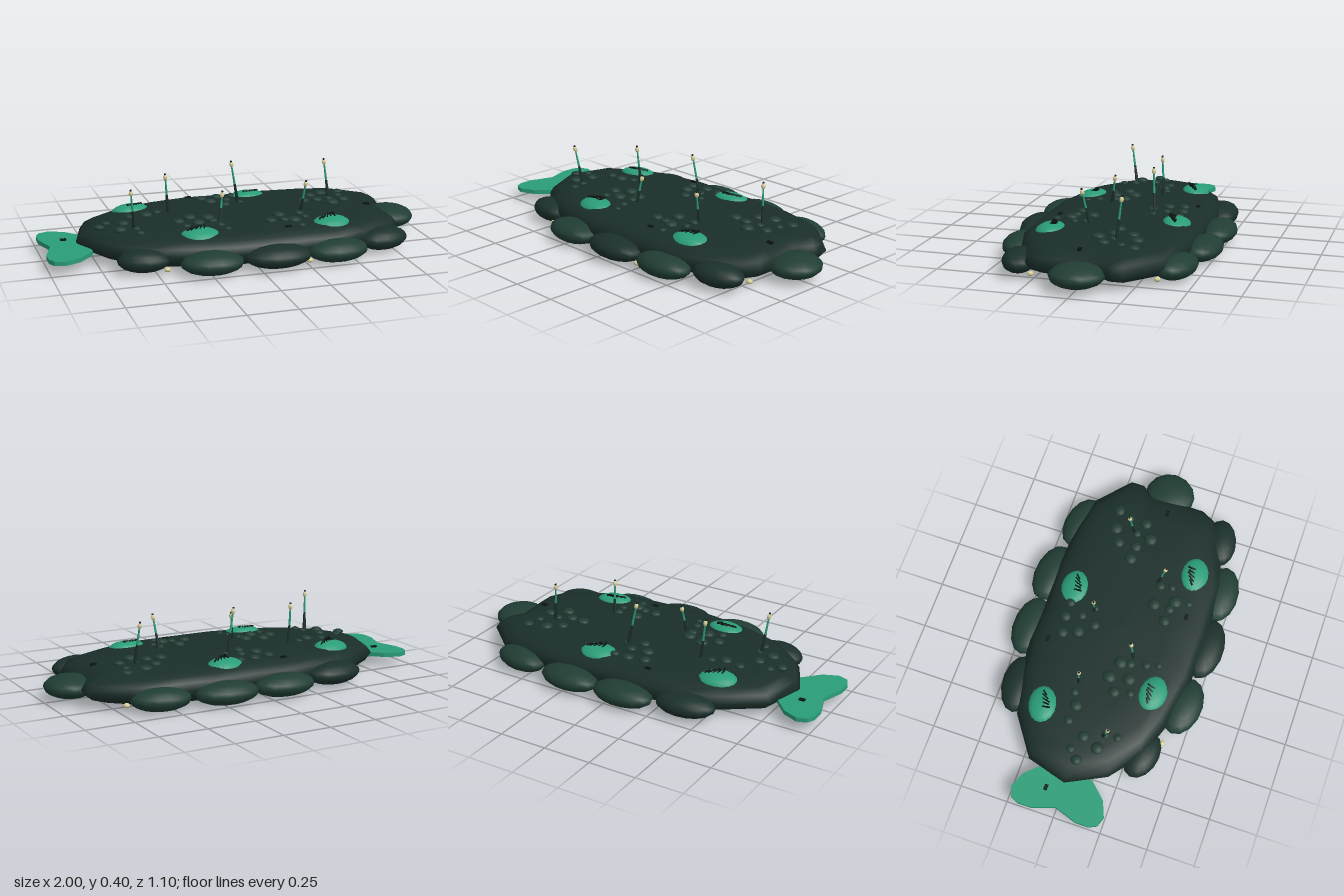
import * as THREE from 'three';

const paint = (color, flatShading = false) => new THREE.MeshStandardMaterial({ color, flatShading });
const skin = paint(0x1a2e2a), lobeLight = paint(0x203d34), lobeDark = paint(0x1b302b);
const bumpMat = paint(0x213c34), green = paint(0x2a9d78), finMat = paint(0x2a9d78, true);
const dark = paint(0x0c1512), pale = paint(0xd8d09a);

function add(parent, name, geometry, material, x = 0, y = 0, z = 0) {
  const m = new THREE.Mesh(geometry, material);
  m.name = name;
  m.position.set(x, y, z);
  parent.add(m);
  return m;
}

// Flat body: one outline scaled through a stack of height rings
function bodyGeometry() {
  const outline = [
    [-0.83, 0], [-0.77, -0.21], [-0.57, -0.35], [-0.38, -0.40], [-0.18, -0.43], [0.05, -0.42], [0.3, -0.43],
    [0.52, -0.41], [0.7, -0.37], [0.87, -0.22], [0.87, -0.15], [0.82, -0.08], [0.83, 0.1], [0.83, 0.2],
    [0.79, 0.28], [0.6, 0.37], [0.44, 0.43], [0.15, 0.44], [-0.12, 0.44], [-0.4, 0.39], [-0.57, 0.33], [-0.73, 0.2],
  ];
  const rings = [[0, 0], [0.65, 0.002], [0.86, 0.015], [0.96, 0.045], [1, 0.085], [0.97, 0.12],
    [0.91, 0.145], [0.8, 0.16], [0.55, 0.168], [0, 0.17]];
  const n = outline.length, pos = [], idx = [];
  for (const [s, y] of rings)
    for (const [x, z] of outline) pos.push(0.02 + (x - 0.02) * s, y, z * s);
  for (let i = 0; i < rings.length - 1; i++)
    for (let j = 0; j < n; j++) {
      const a = i * n + j, b = i * n + (j + 1) % n, c = a + n, d = b + n;
      idx.push(a, c, b, b, c, d);
    }
  const g = new THREE.BufferGeometry();
  g.setAttribute('position', new THREE.Float32BufferAttribute(pos, 3));
  g.setIndex(idx);
  g.computeVertexNormals();
  return g;
}

// Two-lobed tail fin, extruded thin and laid flat
function finGeometry() {
  const half = [[-0.77, 0.13], [-0.85, 0.215], [-0.93, 0.248], [-0.98, 0.23], [-1, 0.19], [-1, 0.12], [-0.96, 0]];
  const pts = [...half, ...half.slice(0, -1).reverse().map(([x, z]) => [x, -z])];
  const shape = new THREE.Shape(pts.map(([x, z]) => new THREE.Vector2(x, z)));
  return new THREE.ExtrudeGeometry(shape, { depth: 0.022, bevelEnabled: false }).rotateX(-Math.PI / 2);
}

// Stalk from base to tip with a pale bulb and dark cap
function antenna(parent, base, tip) {
  const g = new THREE.Group();
  g.name = 'antenna';
  parent.add(g);
  const a = new THREE.Vector3(...base), b = new THREE.Vector3(...tip);
  const dir = b.clone().sub(a), len = dir.length();
  g.position.copy(a);
  g.quaternion.setFromUnitVectors(new THREE.Vector3(0, 1, 0), dir.normalize());
  add(g, 'stalk', new THREE.CylinderGeometry(0.004, 0.008, len, 6), green, 0, len / 2, 0);
  add(g, 'stalkSleeve', new THREE.CylinderGeometry(0.006, 0.01, len * 0.5, 6), skin, 0, len * 0.25, 0);
  add(g, 'bulb', new THREE.SphereGeometry(0.011, 8, 6), pale, 0, len, 0).scale.y = 1.4;
  add(g, 'bulbCap', new THREE.SphereGeometry(0.006, 6, 5), dark, 0, len + 0.017, 0);
}

// Raised oval pad carrying a fan of dark slits on its inner side
function pad(parent, x, z, turn) {
  const g = new THREE.Group();
  g.name = 'pad';
  g.position.set(x, 0.15, z);
  g.rotation.y = turn;
  parent.add(g);
  const tilt = new THREE.Group();
  tilt.rotation.x = 0.12;
  g.add(tilt);
  add(tilt, 'padDome', new THREE.SphereGeometry(1, 16, 10), green).scale.set(0.1, 0.036, 0.074);
  for (let i = 0; i < 5; i++) {
    const s = add(tilt, 'slit', new THREE.BoxGeometry(0.007, 0.01, 0.034 + 0.008 * (i % 3)), dark,
      -0.052 + i * 0.019, 0.031 + 0.001 * i, -0.014 - 0.003 * i);
    s.rotation.set(0.2, -0.95 + i * 0.2, 0);
  }
}

export function createModel() {
  const model = new THREE.Group();
  model.name = 'flatCreature';
  add(model, 'body', bodyGeometry(), skin);
  add(model, 'tailFin', finGeometry(), finMat, 0, 0.05, 0);

  // Rim lobes: x, z, half length, half width, turn, light
  const lobe = new THREE.SphereGeometry(1, 14, 10);
  const lobes = [
    [-0.41, -0.40, 0.155, 0.09, 0.12, 0], [-0.085, -0.455, 0.165, 0.095, 0, 1], [0.235, -0.45, 0.165, 0.095, -0.08, 1],
    [0.565, -0.4, 0.15, 0.09, -0.2, 1], [-0.56, 0.325, 0.13, 0.085, -0.2, 0], [-0.245, 0.44, 0.158, 0.1, -0.08, 1],
    [0.09, 0.455, 0.17, 0.095, 0, 0], [0.41, 0.435, 0.158, 0.095, 0.06, 1], [0.69, 0.345, 0.135, 0.085, 0.2, 0],
    [0.865, 0, 0.13, 0.135, 0, 1],
  ];
  for (const [x, z, a, b, turn, light] of lobes) {
    const m = add(model, 'rimLobe', lobe, light ? lobeLight : lobeDark, x, light ? 0.06 : 0.066, z);
    m.scale.set(a, 0.057, b);
    m.rotation.y = turn;
  }
  model.children[model.children.length - 1].position.y = 0.07;

  // Four green pads
  pad(model, -0.26, 0.28, -0.1);
  pad(model, 0.43, 0.28, 0.1);
  pad(model, -0.495, -0.235, Math.PI + 0.25);
  pad(model, 0.16, -0.295, Math.PI + 0.15);

  // Clusters of skin bumps: x, z, radius
  const bump = new THREE.SphereGeometry(1, 10, 6);
  const clusters = [
    [[-0.1, -0.27, 0.03], [-0.01, -0.285, 0.03], [-0.07, -0.195, 0.033], [0.02, -0.205, 0.025],
      [-0.01, -0.125, 0.028], [0.07, -0.285, 0.025], [0.08, -0.15, 0.018]],
    [[0.475, -0.16, 0.03], [0.55, -0.2, 0.035], [0.655, -0.215, 0.03], [0.405, -0.07, 0.033], [0.48, -0.065, 0.03],
      [0.545, -0.005, 0.035], [0.625, -0.055, 0.03], [0.555, -0.085, 0.022], [0.63, -0.145, 0.022]],
    [[-0.715, 0.025, 0.028], [-0.67, -0.02, 0.022], [-0.59, 0.02, 0.03], [-0.535, -0.08, 0.025], [-0.45, -0.07, 0.033],
      [-0.385, -0.1, 0.022], [-0.625, 0.105, 0.033], [-0.545, 0.12, 0.022], [-0.54, 0.185, 0.022]],
    [[-0.32, 0.09, 0.03], [-0.25, 0.04, 0.035], [-0.16, 0.07, 0.035], [-0.23, 0.14, 0.035], [-0.3, 0.17, 0.022],
      [-0.15, 0.12, 0.025], [-0.13, 0.2, 0.022], [-0.11, 0.26, 0.018]],
    [[0.2, 0.13, 0.033], [0.13, 0.21, 0.03], [0.25, 0.23, 0.035], [0.31, 0.13, 0.025], [0.32, 0.19, 0.02],
      [0.2, 0.215, 0.025], [0.265, 0.3, 0.02]],
  ];
  for (const [x, z, r] of clusters.flat()) {
    const edge = Math.hypot((x - 0.02) / 0.85, z / 0.43);
    const y = 0.17 - 0.012 * Math.max(0, edge - 0.55) / 0.3;
    add(model, 'skinBump', bump, bumpMat, x, y, z).scale.set(r, r * 0.5, r);
  }

  // Antennae
  antenna(model, [-0.555, 0.165, 0.115], [-0.575, 0.355, 0.145]);
  antenna(model, [-0.325, 0.165, -0.1], [-0.34, 0.355, -0.088]);
  antenna(model, [-0.112, 0.165, 0.125], [-0.095, 0.295, 0.105]);
  antenna(model, [0.07, 0.165, -0.155], [0.03, 0.38, -0.14]);
  antenna(model, [0.325, 0.165, 0.11], [0.34, 0.325, 0.142]);
  antenna(model, [0.56, 0.165, -0.1], [0.54, 0.357, -0.12]);

  // Pale beads low on the rim
  const bead = new THREE.SphereGeometry(1, 8, 6);
  for (const [x, y, z] of [[-0.46, 0.035, 0.4], [0.25, 0.03, 0.46], [0.8, 0.037, 0.25], [0.72, 0.037, -0.345]])
    add(model, 'rimBead', bead, pale, x, y, z).scale.set(0.017, 0.012, 0.016);

  // Small dark studs on the back and the fin
  for (const [x, y, z] of [[-0.155, 0.16, -0.33], [0.725, 0.152, 0.03], [-0.88, 0.073, -0.08], [0.19, 0.162, 0.31]])
    add(model, 'stud', new THREE.BoxGeometry(0.03, 0.014, 0.018), dark, x, y, z);

  return model;
}
